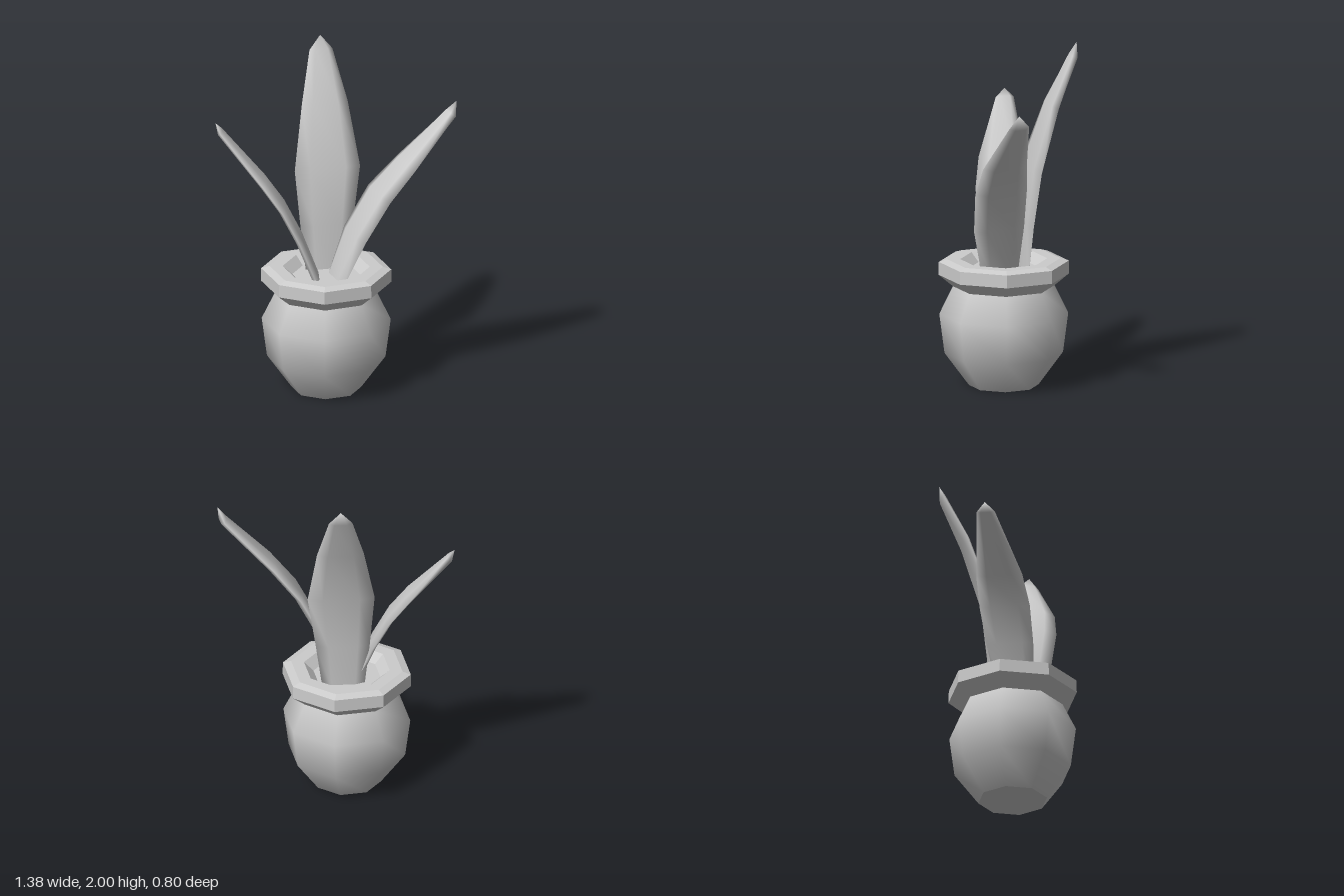
import * as THREE from 'three';

const smooth = new THREE.MeshStandardMaterial({ color: 0xcccccc, side: THREE.DoubleSide });
const faceted = new THREE.MeshStandardMaterial({ color: 0xcccccc, flatShading: true, side: THREE.DoubleSide });

// Eight-sided turned part from [radius, height] pairs
function turned(name, profile, material) {
  const points = profile.map(([r, y]) => new THREE.Vector2(r, y));
  const mesh = new THREE.Mesh(new THREE.LatheGeometry(points, 8), material);
  mesh.name = name;
  mesh.position.set(-0.055, 0, 0.035);
  return mesh;
}

// Thin leaf lofted along stations [x, y, z, width]; angle turns its width axis about y
function leaf(name, angle, thickness, stations, tip) {
  const section = [[-1, 0], [-0.55, 1], [0.55, 1], [1, 0], [0.55, -1], [-0.55, -1]];
  const n = section.length;
  const across = new THREE.Vector3(Math.cos(angle), 0, -Math.sin(angle));
  const centres = stations.map(([x, y, z]) => new THREE.Vector3(x, y, z));
  const end = new THREE.Vector3(...tip);
  const positions = [];
  const index = [];

  stations.forEach(([, , , width], i) => {
    const next = centres[i + 1] ?? end;
    const along = next.clone().sub(centres[Math.max(i - 1, 0)]).normalize();
    const normal = new THREE.Vector3().crossVectors(across, along).normalize();
    const t = thickness * (i === stations.length - 1 ? 0.8 : 1);
    for (const [u, v] of section) {
      const p = centres[i].clone()
        .addScaledVector(across, u * width / 2)
        .addScaledVector(normal, v * t / 2);
      positions.push(p.x, p.y, p.z);
    }
  });
  positions.push(end.x, end.y, end.z);

  // Sides, then a fan closing the tip
  const last = stations.length - 1;
  for (let i = 0; i <= last; i++) {
    for (let j = 0; j < n; j++) {
      const a = i * n + j, b = i * n + (j + 1) % n;
      if (i < last) index.push(a, a + n, b, b, a + n, b + n);
      else index.push(a, n * stations.length, b);
    }
  }
  const geometry = new THREE.BufferGeometry();
  geometry.setAttribute('position', new THREE.Float32BufferAttribute(positions, 3));
  geometry.setIndex(index);
  geometry.computeVertexNormals();
  const mesh = new THREE.Mesh(geometry, smooth);
  mesh.name = name;
  return mesh;
}

export function createModel() {
  const group = new THREE.Group();
  group.name = 'pottedPlant';

  // Pot with a heavy collar
  group.add(
    turned('potBase', [[0, 0], [0.2, 0]], faceted),
    turned('potBody', [[0.2, 0], [0.34, 0.19], [0.37, 0.42], [0.29, 0.585]], smooth),
    turned('potRim', [[0.29, 0.58], [0.375, 0.65], [0.373, 0.725], [0.325, 0.74],
      [0.25, 0.74], [0.195, 0.69]], faceted),
    turned('soil', [[0.195, 0.69], [0, 0.69]], faceted)
  );

  // Tall leaf leaning back
  group.add(leaf('backLeaf', 0.26, 0.04, [
    [-0.055, 0.66, -0.07, 0.24],
    [-0.055, 0.95, -0.09, 0.31],
    [-0.052, 1.28, -0.125, 0.385],
    [-0.07, 1.64, -0.24, 0.27],
    [-0.095, 1.92, -0.365, 0.135]
  ], [-0.1, 2.0, -0.385]));

  // Leaf leaning to the left side
  group.add(leaf('leftLeaf', -1.16, 0.05, [
    [0.0, 0.66, 0.06, 0.23],
    [0.11, 0.95, 0.07, 0.32],
    [0.25, 1.2, 0.065, 0.33],
    [0.4, 1.38, 0.05, 0.28],
    [0.66, 1.67, -0.02, 0.125]
  ], [0.69, 1.745, -0.018]));

  // Short leaf leaning to the right side
  group.add(leaf('rightLeaf', -1.5, 0.04, [
    [-0.105, 0.66, 0.065, 0.21],
    [-0.21, 0.92, 0.05, 0.27],
    [-0.31, 1.11, 0.04, 0.29],
    [-0.42, 1.26, 0.03, 0.265],
    [-0.665, 1.55, 0.0, 0.105]
  ], [-0.69, 1.6, 0.0]));

  return group;
}
